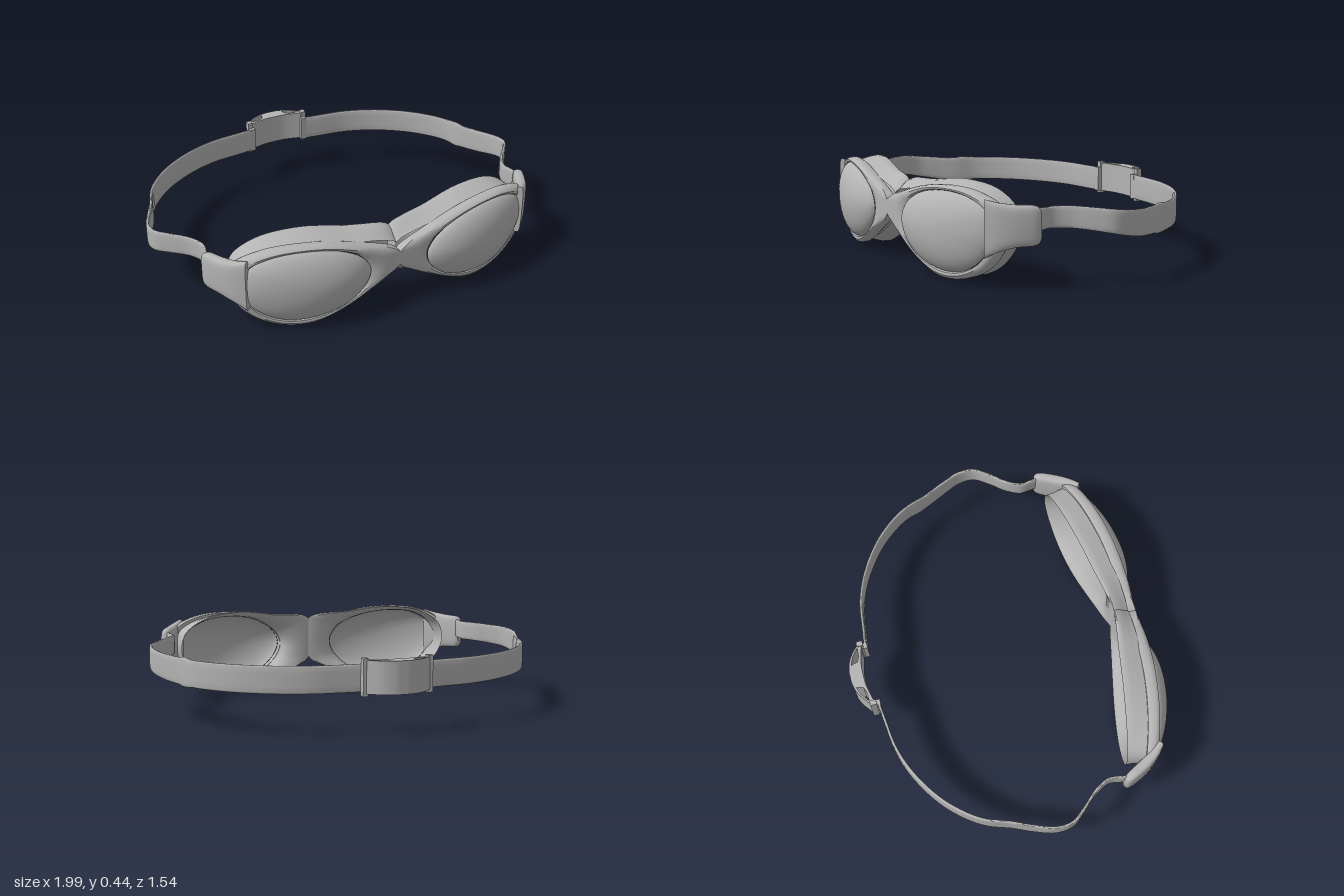
import * as THREE from 'three';
import { toCreasedNormals } from 'three/addons/utils/BufferGeometryUtils.js';

const N = 96; // samples round each eye
const gray = new THREE.MeshStandardMaterial({ color: 0xb4b4b4, side: THREE.DoubleSide });
gray.name = 'grayRubber';

// Closed outline round the left eye, anticlockwise from the bridge, never crossing x = 0
function outline(points) {
  const curve = new THREE.CatmullRomCurve3(points.map(([x, y]) => new THREE.Vector3(x, y, 0)), true);
  return Array.from({ length: N }, (_, i) => {
    const p = curve.getPoint(i / N);
    p.x = Math.max(0, p.x);
    return p;
  });
}
const lensLine = outline([[0.15, 0.255], [0.17, 0.185], [0.26, 0.1], [0.42, 0.052], [0.57, 0.063], [0.69, 0.135],
  [0.75, 0.25], [0.72, 0.35], [0.61, 0.405], [0.44, 0.415], [0.28, 0.38], [0.185, 0.32]]);
const frameLine = outline([[0, 0.275], [0, 0.24], [0.17, 0.125], [0.41, 0.016], [0.58, 0.03], [0.72, 0.11],
  [0.79, 0.23], [0.78, 0.36], [0.65, 0.425], [0.44, 0.437], [0.25, 0.405], [0, 0.31]]);
const waistLine = outline([[0, 0.27], [0, 0.225], [0.18, 0.11], [0.42, 0.03], [0.57, 0.042], [0.7, 0.12],
  [0.765, 0.24], [0.75, 0.35], [0.63, 0.41], [0.44, 0.422], [0.24, 0.395], [0, 0.335]]);
const rearLine = outline([[0, 0.27], [0, 0.17], [0.17, 0.085], [0.42, 0.006], [0.58, 0.04], [0.7, 0.14],
  [0.755, 0.25], [0.735, 0.35], [0.62, 0.425], [0.42, 0.45], [0.22, 0.425], [0, 0.39]]);

const frontZ = (x) => 0.725 - 0.222 * x * x;
const backZ = (x) => 0.6 - 0.2 * x;
const edge = (x) => Math.min(1, x / 0.1); // rounding fades out at the bridge

// Ring between two outlines, with its depth given by a rule
function ring(a, b, t, depth) {
  return a.map((p, i) => {
    const q = p.clone().lerp(b[i], t);
    q.z = depth(q.x, q.y);
    return q;
  });
}

// Skin over closed rings; side -1 mirrors to the right
function loft(rings, side, closed = false, crease = 0.7) {
  const n = rings[0].length, pos = [], index = [];
  rings.forEach((r) => r.forEach((p) => pos.push(p.x * side, p.y, p.z)));
  const count = closed ? rings.length : rings.length - 1;
  for (let i = 0; i < count; i++) {
    const k = (i + 1) % rings.length;
    for (let j = 0; j < n; j++) {
      const m = (j + 1) % n;
      const a = i * n + j, b = i * n + m, c = k * n + m, d = k * n + j;
      if (side > 0) index.push(a, b, c, a, c, d);
      else index.push(a, c, b, a, d, c);
    }
  }
  const g = new THREE.BufferGeometry();
  g.setAttribute('position', new THREE.Float32BufferAttribute(pos, 3));
  g.setIndex(index);
  return toCreasedNormals(g, crease);
}

// Rounded-rectangle sweep; rows are [x, y, z, half height, half thickness]
function sweep(rows, steps, side) {
  const path = new THREE.CatmullRomCurve3(rows.map((r) => new THREE.Vector3(r[0], r[1], r[2])));
  const size = new THREE.CatmullRomCurve3(rows.map((r) => new THREE.Vector3(r[3], r[4], 0)));
  const section = (u, scale) => {
    const p = path.getPoint(u), t = path.getTangent(u), s = size.getPoint(u);
    const nrm = new THREE.Vector3(t.z, 0, -t.x).normalize();
    return Array.from({ length: 24 }, (_, j) => {
      const a = (j / 24) * Math.PI * 2, c = Math.cos(a), d = Math.sin(a);
      const w = Math.sign(c) * Math.sqrt(Math.abs(c)) * s.y * scale;
      const h = Math.sign(d) * Math.sqrt(Math.abs(d)) * s.x * scale;
      return new THREE.Vector3(p.x + nrm.x * w, p.y + h, p.z + nrm.z * w);
    });
  };
  const rings = [section(0, 0)];
  for (let i = 0; i <= steps; i++) rings.push(section(i / steps, 1));
  rings.push(section(1, 0));
  return loft(rings, side, false, 0.9);
}

function lens(side) {
  const centre = lensLine.map(() => new THREE.Vector3(0.435, 0.24, 0));
  const rings = [];
  for (let i = 0; i <= 14; i++) {
    const r = Math.cos((i / 14) * Math.PI / 2);
    const bulge = 0.078 * Math.pow(Math.max(0, 1 - r * r), 0.65);
    rings.push(ring(centre, lensLine, r, (x) => frontZ(x) - 0.004 + bulge));
  }
  return loft(rings, side);
}

function frame(side) {
  const at = (t, depth) => ring(lensLine, frameLine, t, depth);
  return loft([
    at(0.85, (x) => frontZ(x) - 0.055),
    at(1, (x) => frontZ(x) - 0.045),
    at(1, (x) => frontZ(x) - 0.018 * edge(x)),
    at(0.85, (x) => frontZ(x) - 0.003 * edge(x)),
    at(0.5, (x) => frontZ(x) + 0.006),
    at(0.15, (x) => frontZ(x) + 0.004),
    at(0, (x) => frontZ(x) - 0.008),
    at(0, (x) => frontZ(x) - 0.055),
  ], side, true);
}

function gasket(side) {
  const mix = (t) => (x) => THREE.MathUtils.lerp(frontZ(x) - 0.045, backZ(x), t);
  return loft([
    ring(lensLine, rearLine, 0, (x) => frontZ(x) - 0.05),
    ring(lensLine, rearLine, 0.12, mix(0.5)),
    ring(lensLine, rearLine, 0.3, (x) => backZ(x) + 0.025),
    ring(lensLine, rearLine, 0.65, (x) => backZ(x) + 0.006),
    ring(lensLine, rearLine, 0.93, backZ),
    ring(rearLine, rearLine, 0, (x) => backZ(x) + 0.012 * edge(x)),
    ring(rearLine, waistLine, 0.15, mix(0.65)),
    ring(rearLine, waistLine, 0.7, mix(0.3)),
    ring(waistLine, waistLine, 0, mix(0)),
  ], side);
}

const armRows = [[0.725, 0.28, 0.622, 0.13, 0.018], [0.765, 0.288, 0.575, 0.108, 0.026], [0.805, 0.294, 0.51, 0.093, 0.03],
  [0.835, 0.295, 0.45, 0.09, 0.028], [0.846, 0.295, 0.425, 0.083, 0.023], [0.85, 0.295, 0.412, 0.065, 0.014]];

// Head strap path seen from above, with the height easing down to the back
const strapPath = [[0.838, 0.44], [0.83, 0.39], [0.824, 0.335], [0.86, 0.26], [0.93, 0.18], [0.98, 0.11], [0.985, 0.03],
  [0.95, -0.07], [0.9, -0.18], [0.86, -0.29], [0.8, -0.38], [0.7, -0.48], [0.55, -0.575], [0.4, -0.63], [0.25, -0.65], [0.145, -0.662]];
const strapRows = strapPath.map(([x, z]) => {
  const t = THREE.MathUtils.smoothstep(-z, -0.3, 0.18);
  return [x, 0.318 - 0.053 * t, z, 0.05 + 0.015 * t, 0.008];
});

// Arched buckle body, drawn from above and extruded upwards, with two strap slots
function buckleBody() {
  const v = (list) => list.map(([x, y]) => new THREE.Vector2(x, y));
  const shape = new THREE.Shape();
  shape.moveTo(-0.165, 0.675);
  shape.lineTo(-0.165, 0.695);
  shape.splineThru(v([[-0.1, 0.745], [-0.045, 0.765], [0, 0.768], [0.045, 0.765], [0.1, 0.745], [0.165, 0.695]]));
  shape.lineTo(0.165, 0.675);
  shape.splineThru(v([[0.07, 0.698], [0, 0.702], [-0.07, 0.698], [-0.165, 0.675]]));
  for (const s of [1, -1]) {
    shape.holes.push(new THREE.Path(v([[0.06 * s, 0.75], [0.1 * s, 0.735], [0.143 * s, 0.702], [0.1 * s, 0.704], [0.07 * s, 0.715]])));
  }
  const g = new THREE.ExtrudeGeometry(shape, { depth: 0.155, bevelEnabled: false, curveSegments: 16 });
  g.rotateX(-Math.PI / 2).translate(0, 0.197, 0);
  return toCreasedNormals(g, 0.6);
}

export function createModel() {
  const model = new THREE.Group();
  model.name = 'swimGoggles';
  const add = (name, geometry, x = 0, y = 0, z = 0) => {
    const mesh = new THREE.Mesh(geometry, gray);
    mesh.name = name;
    mesh.position.set(x, y, z);
    model.add(mesh);
  };
  for (const [label, s] of [['left', 1], ['right', -1]]) {
    add(label + 'Lens', lens(s));
    add(label + 'Frame', frame(s));
    add(label + 'Gasket', gasket(s));
    add(label + 'Arm', sweep(armRows, 20, s));
    add(label + 'Strap', sweep(strapRows, 75, s));
    add(label + 'BuckleBar', new THREE.BoxGeometry(0.026, 0.175, 0.032), 0.16 * s, 0.2725, -0.686);
    add(label + 'StrapFold', new THREE.BoxGeometry(0.03, 0.13, 0.022), 0.155 * s, 0.265, -0.662);
  }
  add('buckleBody', buckleBody());
  return model;
}
